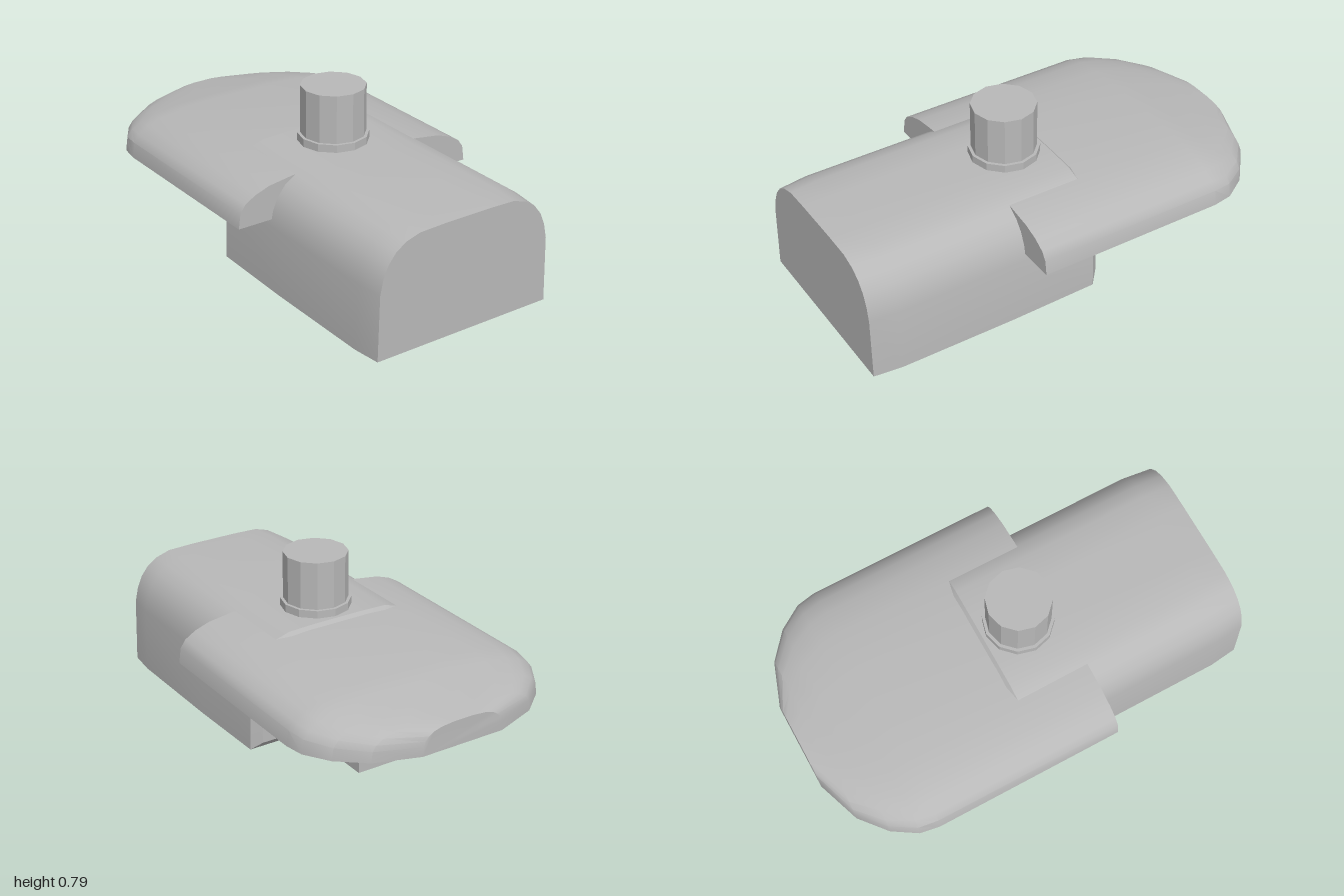
import * as THREE from 'three';
import { toCreasedNormals } from 'three/addons/utils/BufferGeometryUtils.js';

// Mirror a right-hand half profile (bottom to top) into a full loop
function mirrored(half) {
  return [...half, ...half.map(([x, y]) => [-x, y]).reverse()];
}

// Skin equal-length loops [x, y, z], ordered front to back, with capped ends
function loft(sections) {
  const n = sections[0].length;
  const index = [];
  for (let s = 0; s < sections.length - 1; s++) {
    for (let i = 0; i < n; i++) {
      const j = (i + 1) % n;
      const a = s * n + i, b = s * n + j;
      index.push(a, a + n, b, b, a + n, b + n);
    }
  }
  const last = (sections.length - 1) * n;
  for (let i = 1; i < n - 1; i++) {
    index.push(0, i, i + 1);
    index.push(last, last + i + 1, last + i);
  }
  const geometry = new THREE.BufferGeometry();
  geometry.setAttribute('position', new THREE.Float32BufferAttribute(sections.flat(2), 3));
  geometry.setIndex(index);
  return toCreasedNormals(geometry, 0.5);
}

export function createModel() {
  const group = new THREE.Group();
  const grey = new THREE.MeshStandardMaterial({ color: 0xb8b8b8 });
  grey.name = 'light grey';
  const flatGrey = grey;

  const add = (name, geometry, x = 0, y = 0, z = 0) => {
    const mesh = new THREE.Mesh(geometry, flatGrey);
    mesh.name = name;
    mesh.position.set(x, y, z);
    group.add(mesh);
  };

  // Main body: arched block, slightly tapered at the front, bevelled at the back
  const bodyProfile = mirrored([
    [0.455, 0], [0.447, 0.3], [0.432, 0.37], [0.408, 0.425], [0.37, 0.472],
    [0.32, 0.505], [0.25, 0.526], [0.12, 0.53],
  ]);
  // z, half width, bottom, top
  const bodyStations = [
    [1, 0.44, 0, 0.523], [0.87, 0.455, 0, 0.53], [0.33, 0.455, 0, 0.53],
    [-0.09, 0.455, 0.01, 0.53], [-0.13, 0.415, 0.05, 0.49],
  ];
  add('body', loft(bodyStations.map(([z, w, low, high]) =>
    bodyProfile.map(([x, y]) => [x * w / 0.455, low + y * (high - low) / 0.53, z]))));

  // Wide hood: domed slab with a rounded, sloping rear end
  const hoodProfile = mirrored([
    [0.605, 0.33], [0.595, 0.4], [0.57, 0.435], [0.52, 0.465],
    [0.45, 0.489], [0.33, 0.506], [0.15, 0.515],
  ]);
  const hoodStations = [
    [0.255, 0.605], [-0.63, 0.605], [-0.72, 0.59], [-0.83, 0.52], [-0.93, 0.4], [-1, 0.2],
  ];
  add('hood', loft(hoodStations.map(([z, w]) => {
    const top = 0.515 - 0.07 * Math.max(0, (-0.63 - z) / 0.37);
    return hoodProfile.map(([x, y]) =>
      [x * w / 0.605, 0.33 + (y - 0.33) * (top - 0.33) / 0.185, z]);
  })));

  // Shallow plate beneath the hood
  add('underPlate', new THREE.BoxGeometry(0.8, 0.09, 0.77), 0, 0.29, -0.46);

  // Twelve-sided stub and its collar
  const prism = (radius, height) =>
    toCreasedNormals(new THREE.CylinderGeometry(radius, radius, height, 12, 1, false, Math.PI / 2), 0.3);
  add('collar', prism(0.159, 0.055), 0, 0.5375, 0.085);
  add('stub', prism(0.145, 0.255), 0, 0.6575, 0.085);

  return group;
}
